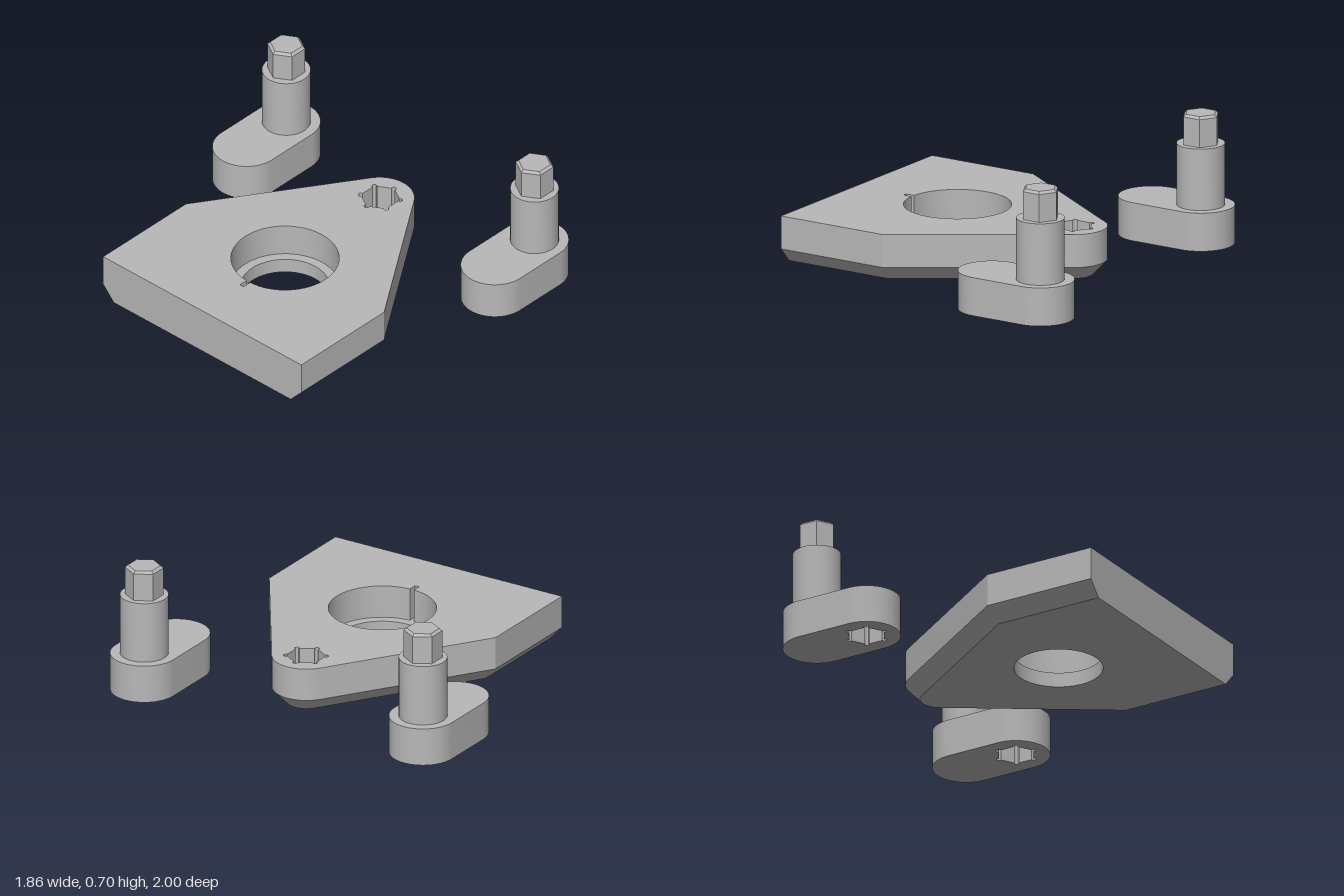
import * as THREE from 'three';
import { toCreasedNormals } from 'three/addons/utils/BufferGeometryUtils.js';

const steel = new THREE.MeshStandardMaterial({ color: 0xb8b8b8 });
steel.name = 'plain grey';

function addMesh(group, name, geometry) {
  const mesh = new THREE.Mesh(toCreasedNormals(geometry, 0.5), steel);
  mesh.name = name;
  group.add(mesh);
  return mesh;
}

// Extrude a plan shape upward from y0 to y1
function slab(shape, y0, y1) {
  const geo = new THREE.ExtrudeGeometry(shape, { depth: y1 - y0, bevelEnabled: false, curveSegments: 32 });
  return geo.rotateX(-Math.PI / 2).translate(0, y0, 0);
}

// Hexagonal socket with a small round relief at each corner
function socketPath(cx) {
  const path = new THREE.Path();
  const R = 0.104, relief = 0.013;
  for (let k = 0; k < 6; k++) {
    const a = k * Math.PI / 3;
    path.absarc(cx + R * Math.cos(a), R * Math.sin(a), relief, a - 2 * Math.PI / 3, a + 2 * Math.PI / 3, false);
  }
  path.closePath();
  return path;
}

// Plate outline moved inward by d on every side but the straight back edge
function plateOutline(d) {
  const half = 0.698, shoulderX = -0.3, noseX = 0.42, noseR = 0.18;
  const dx = noseX - shoulderX;
  const slope = Math.atan2(half, dx) - Math.asin(noseR / Math.hypot(dx, half));
  const sx = shoulderX - d * Math.tan(slope / 2), h = half - d;
  const points = [new THREE.Vector2(-0.93, -h), new THREE.Vector2(sx, -h)];
  const end = Math.PI / 2 - slope, steps = 24;
  for (let i = 0; i <= steps; i++) {
    const a = -end + 2 * end * i / steps;
    points.push(new THREE.Vector2(noseX + (noseR - d) * Math.cos(a), (noseR - d) * Math.sin(a)));
  }
  points.push(new THREE.Vector2(sx, h), new THREE.Vector2(-0.93, h));
  return points;
}

function createPlate() {
  const plate = new THREE.Group();
  plate.name = 'plate';
  const boreX = -0.3, step = 0.08, top = 0.257;
  const outer = plateOutline(0), inner = plateOutline(0.075);

  // Upper slab: wide bore with a key slot, and the nose socket
  const upper = new THREE.Shape(outer);
  const bore = new THREE.Path();
  const slot = 0.0125, a = Math.asin(slot / 0.28);
  bore.absarc(boreX, 0, 0.28, -Math.PI + a, Math.PI - a, false);
  bore.lineTo(-0.63, slot);
  bore.lineTo(-0.63, -slot);
  bore.closePath();
  upper.holes.push(bore, socketPath(0.425));
  addMesh(plate, 'plateTop', slab(upper, step, top));

  // Lower slab: narrower hole, with the bottom rim drawn in as a chamfer
  const lower = new THREE.Shape(outer);
  const hole = new THREE.Path();
  hole.absarc(boreX, 0, 0.23, 0, Math.PI * 2, false);
  lower.holes.push(hole);
  const geo = slab(lower, 0, step);
  const pos = geo.attributes.position;
  for (let i = 0; i < pos.count; i++) {
    if (pos.getY(i) > 0.01) continue;
    const k = outer.findIndex(p => Math.hypot(p.x - pos.getX(i), p.y + pos.getZ(i)) < 1e-4);
    if (k >= 0) pos.setXYZ(i, inner[k].x, 0, -inner[k].y);
  }
  addMesh(plate, 'plateChamferedBase', geo);
  return plate;
}

// Rounded arm with a socket below one end and a hex-headed post on the other
function createCrank(name) {
  const crank = new THREE.Group();
  crank.name = name;
  const r = 0.177, reach = 0.302;
  const arm = () => {
    const s = new THREE.Shape();
    s.absarc(0, 0, r, -Math.PI / 2, Math.PI / 2, false);
    s.absarc(-reach, 0, r, Math.PI / 2, Math.PI * 1.5, false);
    s.closePath();
    return s;
  };
  const bottom = arm();
  bottom.holes.push(socketPath(-reach));
  addMesh(crank, 'armWithSocket', slab(bottom, 0, 0.17));
  addMesh(crank, 'armTop', slab(arm(), 0.17, 0.205));

  const turned = (profile, sides) => new THREE.LatheGeometry(
    profile.map(([x, y]) => new THREE.Vector2(x, y)), sides, Math.PI / 2);
  addMesh(crank, 'post', turned([[0.126, 0.205], [0.126, 0.535], [0, 0.535]], 48));
  addMesh(crank, 'hexHead', turned([[0.1, 0.535], [0.1, 0.685], [0.085, 0.698], [0, 0.698]], 6));
  return crank;
}

export function createModel() {
  const model = new THREE.Group();
  model.name = 'plateAndCranks';

  const plate = createPlate();
  plate.position.z = 0.036;
  const front = createCrank('frontCrank');
  front.position.set(0.749, 0, 0.823);
  const back = createCrank('backCrank');
  back.position.set(0.637, 0, -0.823);

  model.add(plate, front, back);
  return model;
}
